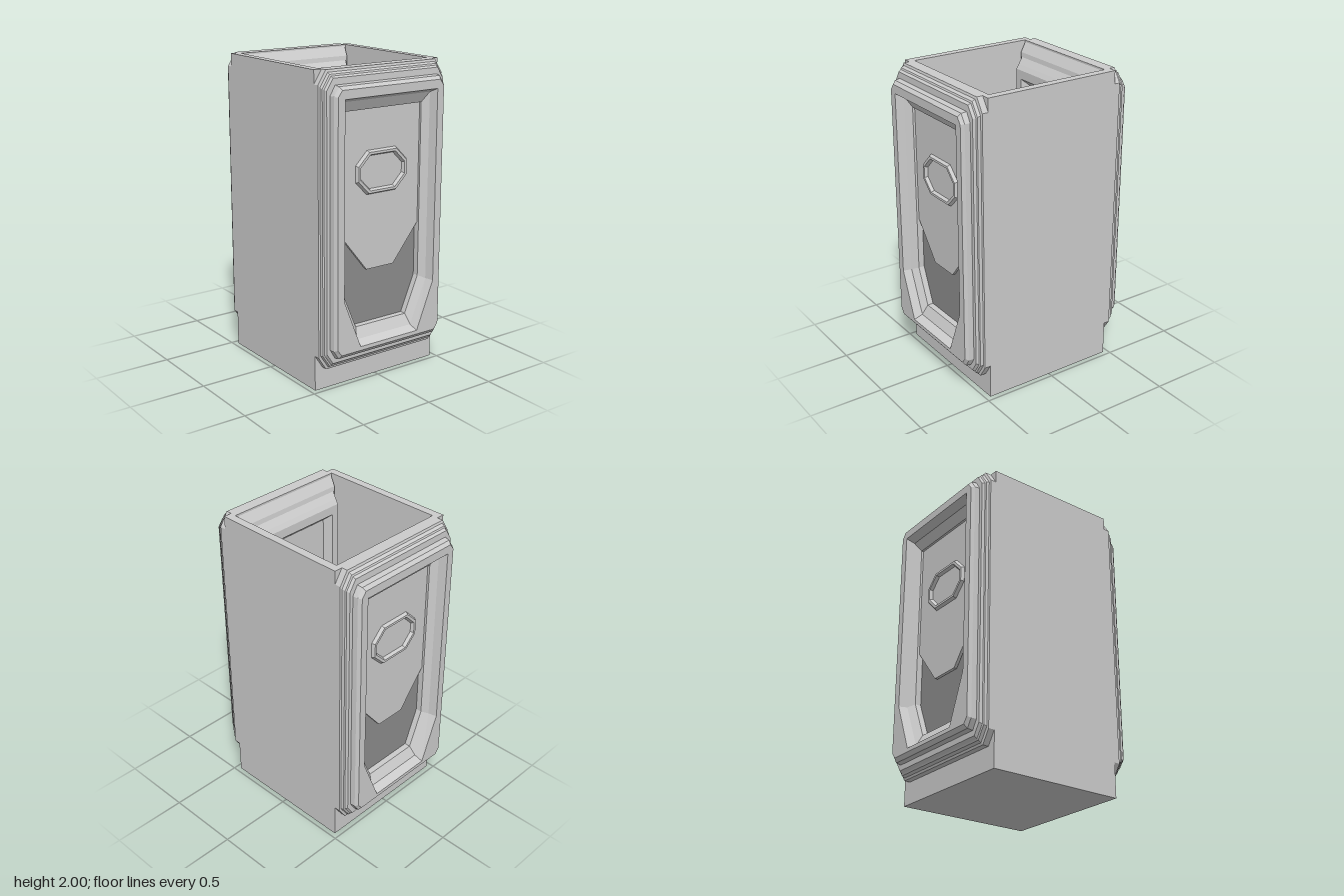
import * as THREE from 'three';

const mat = (color = 0xcccccc) =>
  new THREE.MeshStandardMaterial({ color, flatShading: true, side: THREE.DoubleSide });
const GREY = mat(), DARK = mat(0x8c8c8c), LIGHT = mat(0xeeeeee);

function add(parent, name, geometry, material = GREY) {
  const m = new THREE.Mesh(geometry, material);
  m.name = name;
  parent.add(m);
  return m;
}

// Joins a series of equal-length loops with flat-shaded quads
function loft(loops) {
  const pos = [], n = loops[0].length;
  for (let k = 0; k + 1 < loops.length; k++) {
    const a = loops[k], b = loops[k + 1];
    for (let i = 0; i < n; i++) {
      const j = (i + 1) % n;
      pos.push(...a[i], ...a[j], ...b[j], ...a[i], ...b[j], ...b[i]);
    }
  }
  const g = new THREE.BufferGeometry();
  g.setAttribute('position', new THREE.Float32BufferAttribute(pos, 3));
  g.computeVertexNormals();
  return g;
}

// Upright eight-point loop: half width, bottom, top, top cut (x, y), bottom cut (x, y), depth
function loop8([w, y0, y1, tx, ty, bx, by, z]) {
  return [
    [w - bx, y0, z], [w, y0 + by, z], [w, y1 - ty, z], [w - tx, y1, z],
    [tx - w, y1, z], [-w, y1 - ty, z], [-w, y0 + by, z], [bx - w, y0, z],
  ];
}

// Level rectangle seen from above, counter-clockwise
const rect = (x, z, y) => [[x, y, z], [x, y, -z], [-x, y, -z], [-x, y, z]];

const shapeOf = (points) => new THREE.Shape(points.map(([x, y]) => new THREE.Vector2(x, y)));

// Stepped outer moulding running in to the recessed panel
const OUTER = [
  [0.468, 0.145, 2.0, 0.055, 0.085, 0.055, 0.085, 0.46],
  [0.468, 0.145, 2.0, 0.055, 0.085, 0.055, 0.085, 0.505],
  [0.458, 0.16, 1.985, 0.055, 0.085, 0.055, 0.085, 0.51],
  [0.455, 0.17, 1.975, 0.052, 0.08, 0.052, 0.08, 0.53],
  [0.447, 0.18, 1.965, 0.05, 0.075, 0.05, 0.075, 0.535],
  [0.44, 0.195, 1.955, 0.045, 0.07, 0.045, 0.07, 0.553],
  [0.418, 0.23, 1.915, 0.035, 0.06, 0.035, 0.06, 0.555],
  [0.415, 0.235, 1.91, 0.035, 0.055, 0.035, 0.055, 0.59],
  [0.4, 0.26, 1.89, 0.03, 0.04, 0.03, 0.04, 0.61],
  [0.35, 0.285, 1.835, 0, 0, 0.125, 0.315, 0.61],
  [0.335, 0.312, 1.81, 0, 0, 0.12, 0.29, 0.555],
  [0.297, 0.38, 1.745, 0, 0, 0.1, 0.24, 0.52],
  [0.297, 0.38, 1.745, 0, 0, 0.1, 0.24, 0.48],
];

// Moulding and panel on the inner face of the wall
const INNER = [
  [0.405, 0.15, 1.99, 0, 0, 0, 0, -0.42],
  [0.4, 0.15, 1.96, 0, 0, 0, 0, -0.4],
  [0.395, 0.15, 1.93, 0, 0, 0, 0, -0.38],
  [0.38, 0.15, 1.9, 0, 0, 0, 0, -0.375],
  [0.372, 0.15, 1.86, 0, 0, 0, 0, -0.345],
  [0.37, 0.15, 1.83, 0, 0, 0, 0, -0.325],
  [0.32, 0.28, 1.77, 0, 0, 0.12, 0.3, -0.325],
  [0.295, 0.36, 1.72, 0, 0, 0.1, 0.26, -0.385],
  [0, 1, 1, 0, 0, 0, 0, -0.385],
];

function createFace() {
  const face = new THREE.Group();
  add(face, 'frameMoulding', loft(OUTER.map(loop8)));

  // Dark lower panel behind the pointed upper panel
  const back = loop8(OUTER[OUTER.length - 1]);
  add(face, 'lowerPanel', new THREE.ShapeGeometry(shapeOf(back)), DARK).position.z = 0.48;
  const upper = shapeOf([
    [0.297, 1.745], [-0.297, 1.745], [-0.297, 0.975],
    [-0.105, 0.735], [0.105, 0.735], [0.297, 0.975],
  ]);
  add(face, 'upperPanel', new THREE.ExtrudeGeometry(upper, { depth: 0.02, bevelEnabled: false }))
    .position.z = 0.485;

  // Raised eight-sided ring
  const ring = [[0, 0.505], [0.01, 0.525], [0.025, 0.525], [0.035, 0.505]].map(([d, z]) =>
    loop8([0.195 - d, 1.215 + d, 1.49 - d,
      0.085 - d * 0.4, 0.085 - d * 0.4, 0.085 - d * 0.4, 0.085 - d * 0.4, z]));
  add(face, 'octagonRing', loft(ring));

  // The same wall's inner side, facing the cavity
  const inside = add(face, 'innerMoulding', loft(INNER.map(loop8)));
  inside.rotation.y = Math.PI;
  return face;
}

export function createModel() {
  const model = new THREE.Group();
  model.name = 'cabinet';

  // Open-topped shell with gently tapered inner walls
  add(model, 'shell', loft([
    rect(0, 0, 0), rect(0.468, 0.465, 0), rect(0.468, 0.465, 2),
    rect(0.415, 0.425, 2), rect(0.37, 0.42, 0.15), rect(0, 0, 0.15),
  ]));

  // Rim bridging the shell to the face mouldings, and the two faces
  for (const s of [1, -1]) {
    const face = createFace();
    face.name = s > 0 ? 'frontFace' : 'backFace';
    if (s < 0) face.rotation.y = Math.PI;
    model.add(face);
    add(model, 'rim', new THREE.BoxGeometry(0.82, 0.01, 0.075)).position.set(0, 1.995, s * 0.465);
  }

  // Floor rails and rows of alternating blocks
  for (const s of [1, -1]) {
    add(model, 'floorRail', new THREE.BoxGeometry(0.01, 0.015, 0.65)).position.set(s * 0.18, 0.157, 0);
    for (let i = 0; i < 7; i++) {
      const block = add(model, 'floorBlock', new THREE.BoxGeometry(0.1, 0.02, 0.0925),
        i % 2 ? GREY : LIGHT);
      block.position.set(s * 0.28, 0.16, (i - 3) * 0.0925);
    }
  }
  return model;
}
